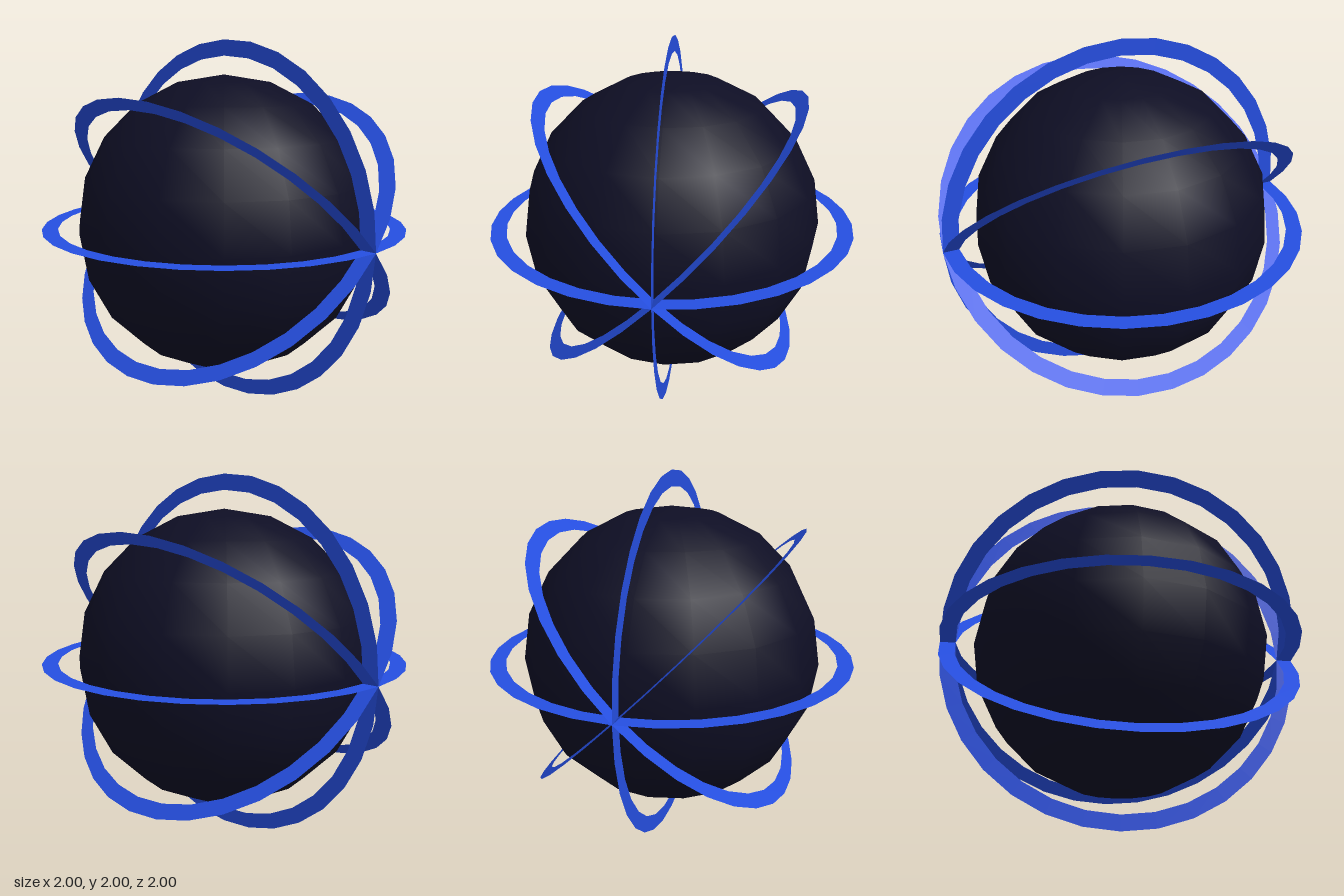
import * as THREE from 'three';

export function createModel() {
  const model = new THREE.Group();
  model.name = 'ringedGlobe';

  const navy = new THREE.MeshStandardMaterial({ color: 0x0e0e24 });
  navy.name = 'dark navy';
  const blue = new THREE.MeshStandardMaterial({ color: 0x254ee0, side: THREE.DoubleSide });
  blue.name = 'bright blue';

  // Smooth core with a low-poly outline
  const globe = new THREE.Mesh(new THREE.SphereGeometry(0.816, 16, 10), navy);
  globe.name = 'globe';
  globe.position.y = 1;
  model.add(globe);

  // Four flat rings fanned around the x axis, 45 degrees apart
  const ringGeometry = new THREE.RingGeometry(0.915, 1, 32);
  ['uprightRing', 'tiltedRingA', 'levelRing', 'tiltedRingB'].forEach((name, i) => {
    const ring = new THREE.Mesh(ringGeometry, blue);
    ring.name = name;
    ring.position.y = 1;
    ring.rotation.x = (i * Math.PI) / 4;
    model.add(ring);
  });

  return model;
}
